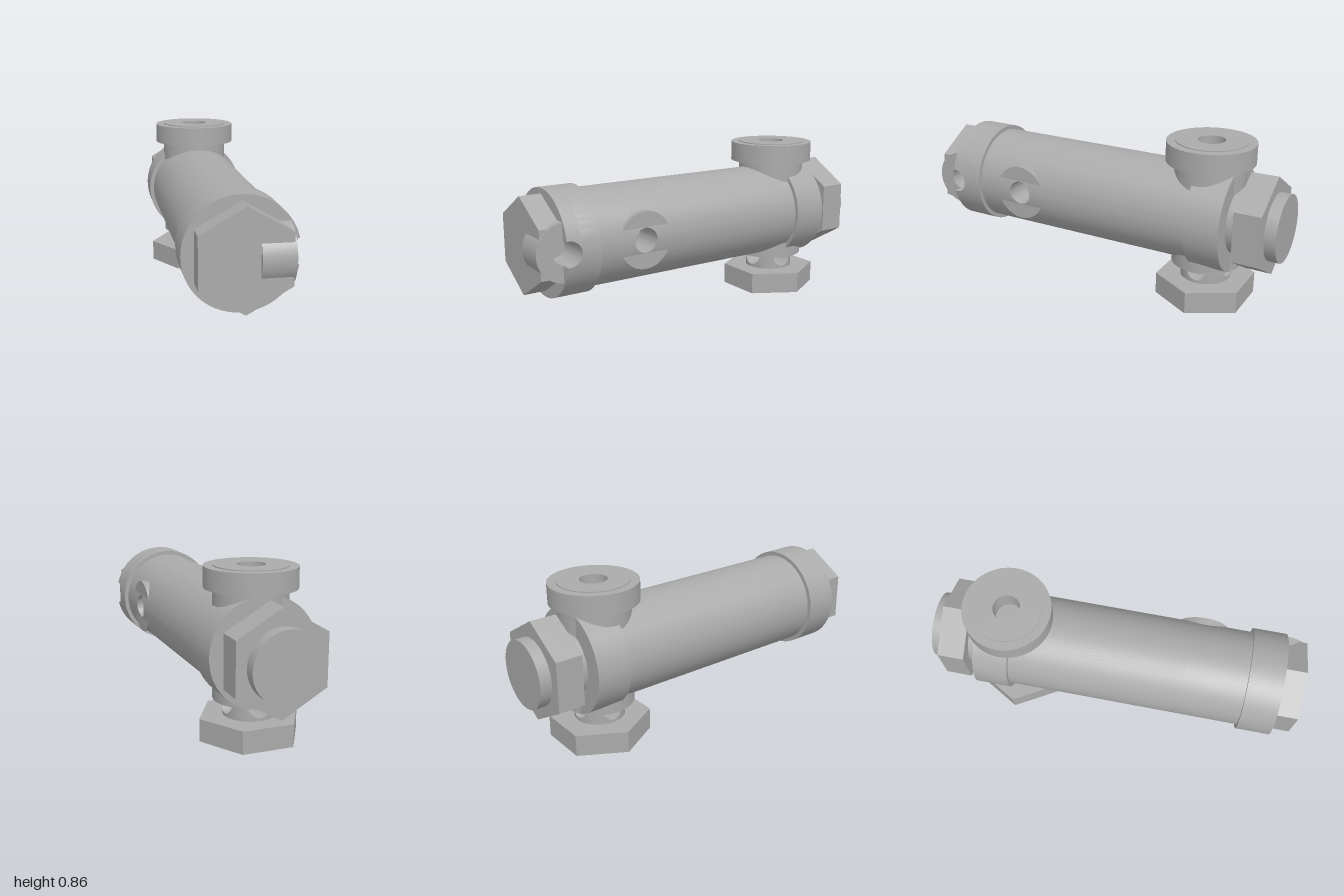
import * as THREE from 'three';
import { toCreasedNormals } from 'three/addons/utils/BufferGeometryUtils.js';

const AXIS = 0.46;      // height of the barrel axis
const PORT_Z = -0.583;  // z of the vertical port axis
const HOLE = 0.064;     // radius of the side holes

// Joins equal-length counterclockwise sections [{ z, pts }] and caps both ends.
function loft(sections) {
  const n = sections[0].pts.length, pos = [], idx = [];
  for (const s of sections) for (const p of s.pts) pos.push(p.x, p.y, s.z);
  for (let k = 0; k < sections.length - 1; k++) {
    for (let i = 0; i < n; i++) {
      const j = (i + 1) % n, a = k * n, b = a + n;
      idx.push(a + i, a + j, b + j, a + i, b + j, b + i);
    }
  }
  const last = (sections.length - 1) * n;
  for (const [a, b, c] of THREE.ShapeUtils.triangulateShape(sections[0].pts, [])) idx.push(a, c, b);
  for (const [a, b, c] of THREE.ShapeUtils.triangulateShape(sections.at(-1).pts, [])) idx.push(last + a, last + b, last + c);
  const g = new THREE.BufferGeometry();
  g.setAttribute('position', new THREE.Float32BufferAttribute(pos, 3));
  g.setIndex(idx);
  return toCreasedNormals(g, 0.5);
}

// Outline of a bar whose +x side has a slot of half-height h reaching in to x = 0.08.
function slottedOutline(radius, sides, h) {
  const pts = [];
  if (sides === 6) {
    const flat = radius * Math.cos(Math.PI / 6);
    pts.push(new THREE.Vector2(flat, h));
    for (let i = 0; i < 6; i++) {
      const a = Math.PI / 6 + i * Math.PI / 3;
      pts.push(new THREE.Vector2(radius * Math.cos(a), radius * Math.sin(a)));
    }
    pts.push(new THREE.Vector2(flat, -h));
  } else {
    const a0 = Math.asin(h / radius);
    for (let i = 0; i <= sides; i++) {
      const a = a0 + (2 * Math.PI - 2 * a0) * i / sides;
      pts.push(new THREE.Vector2(radius * Math.cos(a), radius * Math.sin(a)));
    }
  }
  pts.push(new THREE.Vector2(0.08, -h), new THREE.Vector2(0.08, h));
  return pts;
}

// Bar along z with a round hole drilled into its +x side at holeZ.
function drilledBar(radius, sides, z0, z1, holeZ) {
  const zs = [z0];
  for (let i = 0; i <= 20; i++) {
    const z = holeZ - HOLE * Math.cos(Math.PI * i / 20);
    if (z > z0 + 1e-4 && z < z1 - 1e-4) zs.push(z);
  }
  zs.push(z1);
  return loft(zs.map(z => {
    const h = Math.sqrt(Math.max(1e-10, HOLE * HOLE - (z - holeZ) ** 2));
    return { z, pts: slottedOutline(radius, sides, h) };
  }));
}

// Round boss along x with a bore, spanning x0 to x1.
function boredBoss(x0, x1) {
  const s = new THREE.Shape().absarc(0, 0, 0.148, 0, Math.PI * 2);
  s.holes.push(new THREE.Path().absarc(0, 0, HOLE, 0, Math.PI * 2, true));
  const g = new THREE.ExtrudeGeometry(s, { depth: x1 - x0, bevelEnabled: false, curveSegments: 32 });
  return toCreasedNormals(g.rotateY(Math.PI / 2).translate(x0, 0, 0), 0.5);
}

// Cylinder or prism along z between two z positions.
function barZ(radius, sides, z0, z1) {
  const g = new THREE.CylinderGeometry(radius, radius, z1 - z0, sides).rotateX(Math.PI / 2);
  return toCreasedNormals(g.translate(0, 0, (z0 + z1) / 2), 0.5);
}

export function createModel() {
  const model = new THREE.Group();
  const steel = new THREE.MeshStandardMaterial({ color: 0xaaaaaa });
  steel.name = 'steel grey';
  const add = (name, geometry, x = 0, y = 0, z = 0) => {
    const mesh = new THREE.Mesh(geometry, steel);
    mesh.name = name;
    mesh.position.set(x, y, z);
    model.add(mesh);
  };

  // Horizontal barrel, collars and front plug
  add('barrel', drilledBar(0.253, 96, -0.74, 0.69, 0.425), 0, AXIS);
  add('frontCollar', drilledBar(0.275, 96, 0.685, 0.865, 0.853), 0, AXIS);
  add('frontHexPlug', drilledBar(0.247, 6, 0.865, 0.978, 0.853), 0, AXIS);
  add('rearCollar', barZ(0.275, 96, -0.745, -0.56), 0, AXIS);

  // Side bosses
  add('frontSideBoss', boredBoss(0.065, 0.222), 0, AXIS, 0.853);
  add('barrelSideBoss', boredBoss(0.08, 0.244), 0, AXIS, 0.425);

  // Rear plug
  add('rearStem', barZ(0.175, 64, -1, -0.7), 0, AXIS);
  add('rearHexNut', barZ(0.263, 6, -0.94, -0.8), 0, AXIS);

  // Vertical port with flange, raised face and bore
  const profile = [[0, 0.197], [0.183, 0.197], [0.183, 0.745], [0.228, 0.745], [0.228, 0.85],
    [0.183, 0.85], [0.183, 0.855], [0.07, 0.855], [0.07, 0.74], [0, 0.74]];
  const port = new THREE.LatheGeometry(profile.map(p => new THREE.Vector2(...p)), 72);
  add('verticalPort', toCreasedNormals(port, 0.5), 0, 0, PORT_Z);

  // Bottom hex nut and neck base
  const nut = new THREE.CylinderGeometry(0.262, 0.262, 0.115, 6).rotateY(Math.PI / 2);
  add('bottomHexNut', toCreasedNormals(nut, 0.5), 0, 0.0575, PORT_Z);
  add('neckBase', new THREE.CylinderGeometry(0.132, 0.132, 0.02, 48), 0, 0.12, PORT_Z);

  // Four neck posts left between two crossing round holes
  const sections = [];
  for (let i = 0; i <= 12; i++) {
    const t = Math.PI / 2 * i / 12;
    const w = Math.max(0.001, 0.061 * Math.sin(t)), a0 = Math.asin(w / 0.132);
    const pts = [new THREE.Vector2(w, w)];
    for (let k = 0; k <= 10; k++) {
      const a = a0 + (Math.PI / 2 - 2 * a0) * k / 10;
      pts.push(new THREE.Vector2(0.132 * Math.cos(a), 0.132 * Math.sin(a)));
    }
    sections.push({ z: 0.19 - 0.061 * Math.cos(t), pts });
  }
  sections.push({ z: 0.2, pts: sections.at(-1).pts });
  for (let i = 0; i < 4; i++) {
    add('neckPost', loft(sections).rotateX(-Math.PI / 2).rotateY(i * Math.PI / 2), 0, 0, PORT_Z);
  }
  return model;
}
